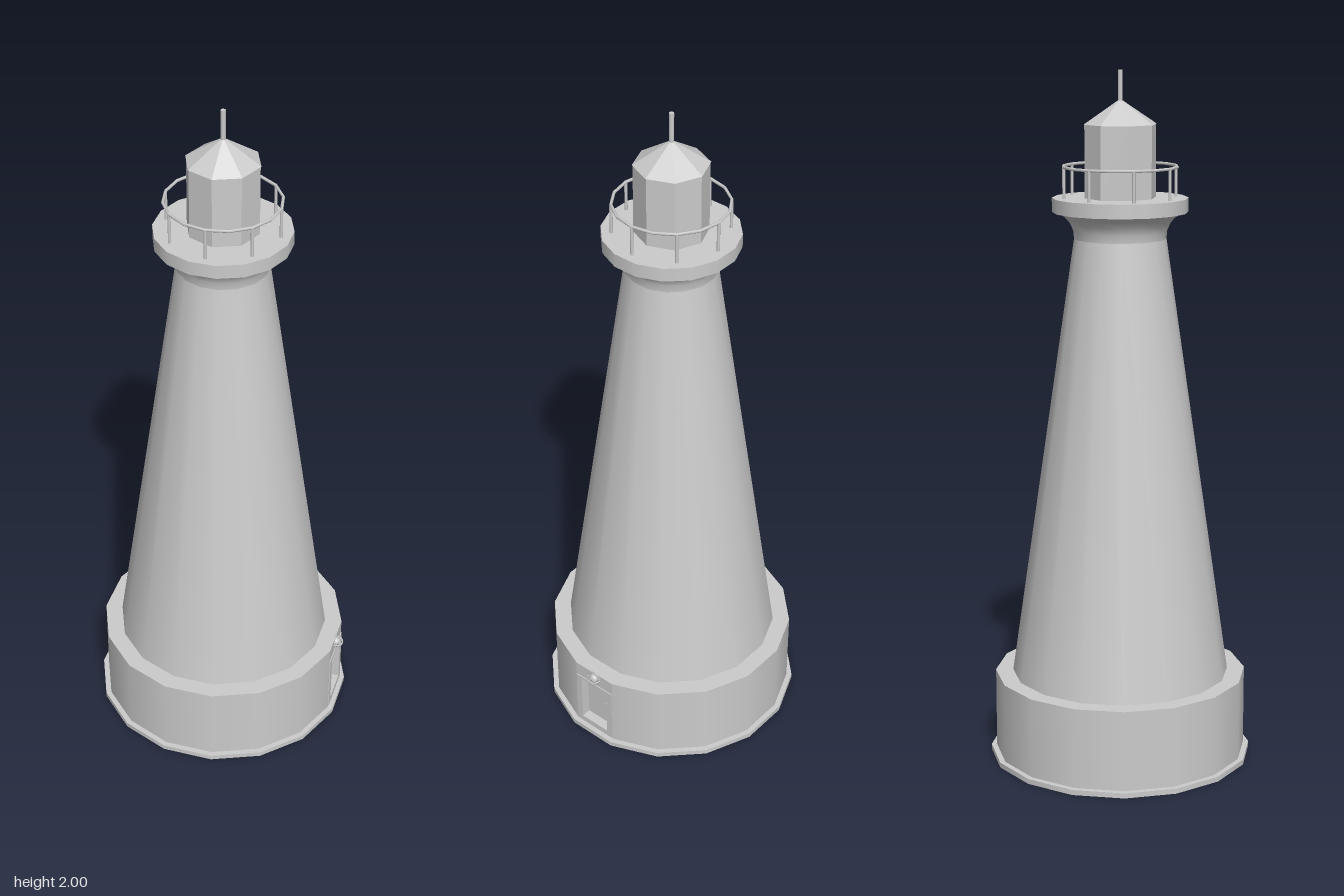
import * as THREE from 'three';

const SIDES = 16;
const HALF = Math.PI / SIDES;

export function createModel() {
  const model = new THREE.Group();
  model.name = 'lighthouse';
  const smooth = new THREE.MeshStandardMaterial({ color: 0xcccccc, side: THREE.DoubleSide });
  const flat = new THREE.MeshStandardMaterial({ color: 0xcccccc, flatShading: true });

  const add = (parent, name, geometry, material = smooth, x = 0, y = 0, z = 0) => {
    const mesh = new THREE.Mesh(geometry, material);
    mesh.name = name;
    mesh.position.set(x, y, z);
    parent.add(mesh);
    return mesh;
  };

  // Sixteen-sided ring of one smooth profile, flats facing the axes
  const ring = (name, points, start = HALF, count = SIDES) =>
    add(model, name, new THREE.LatheGeometry(
      points.map(([r, y]) => new THREE.Vector2(r, y)), count, start, count * 2 * HALF));

  // Plinth and base; the +x facet of the wall is left out for the doorway
  const R = 0.368, top = 0.25, lip = 0.015;
  ring('plinthUnderside', [[0.362, 0], [0.384, 0]]);
  ring('plinthEdge', [[0.384, 0], [0.384, lip]]);
  ring('plinthTop', [[0.384, lip], [R, lip]]);
  ring('plinthInside', [[R, lip], [0.362, 0]]);
  ring('baseWall', [[R, lip], [R, top]], Math.PI / 2 + HALF, SIDES - 1);
  ring('baseLedge', [[R, top], [0.317, top]]);

  // Tapered tower with a coved top carrying the gallery
  ring('tower', [[0.317, top], [0.131, 1.53]]);
  ring('cove', [[0.131, 1.53], [0.133, 1.552], [0.142, 1.573], [0.157, 1.59], [0.18, 1.605]]);
  ring('galleryUnderside', [[0.18, 1.605], [0.193, 1.605]]);
  ring('galleryEdge', [[0.193, 1.605], [0.193, 1.645]]);
  ring('galleryDeck', [[0.193, 1.645], [0, 1.645]]);

  // Doorway on the +x facet
  const wallX = R * Math.cos(HALF), halfFacet = R * Math.sin(HALF);
  const rect = (Type, w, y0, y1) => {
    const s = new Type();
    s.moveTo(-w, y0);
    s.lineTo(w, y0);
    s.lineTo(w, y1);
    s.lineTo(-w, y1);
    s.closePath();
    return s;
  };
  const frame = (name, w, y0, y1, depth, x) => {
    const shape = rect(THREE.Shape, w, y0, y1);
    shape.holes.push(rect(THREE.Path, 0.05, 0.038, 0.198));
    const g = new THREE.ExtrudeGeometry(shape, { depth, bevelEnabled: false });
    add(doorway, name, g.rotateY(Math.PI / 2), smooth, x);
  };
  const doorway = new THREE.Group();
  doorway.name = 'doorway';
  model.add(doorway);
  frame('doorWall', halfFacet, lip, top, 0.035, wallX - 0.035);
  frame('doorTrim', 0.07, 0.02, 0.205, 0.003, wallX);
  add(doorway, 'door', new THREE.BoxGeometry(0.008, 0.16, 0.1), smooth, wallX - 0.03, 0.118);
  add(doorway, 'doorKnob', new THREE.SphereGeometry(0.005, 10, 8), smooth, wallX - 0.022, 0.12, -0.028);

  // Caged lamp above the door
  const lamp = new THREE.Group();
  lamp.name = 'doorLamp';
  lamp.position.set(wallX, 0.23, 0);
  model.add(lamp);
  add(lamp, 'bulb', new THREE.SphereGeometry(0.014, 12, 8));
  add(lamp, 'cageRing', new THREE.TorusGeometry(0.021, 0.002, 6, 20).rotateY(Math.PI / 2));
  add(lamp, 'cageMiddleRing', new THREE.TorusGeometry(0.0155, 0.0015, 6, 16).rotateY(Math.PI / 2), smooth, 0.015);
  for (const turn of [0, Math.PI / 2]) {
    const bar = new THREE.TorusGeometry(0.022, 0.0018, 6, 14, Math.PI);
    add(lamp, 'cageBar', bar.rotateZ(-Math.PI / 2).rotateX(turn));
  }

  // Gallery railing
  const railR = 0.162;
  add(model, 'handrail', new THREE.TorusGeometry(railR, 0.0045, 6, SIDES).rotateX(Math.PI / 2), smooth, 0, 1.732);
  for (let i = 0; i < 8; i++) {
    const a = i * Math.PI / 4;
    add(model, 'railPost', new THREE.CylinderGeometry(0.0045, 0.0045, 0.09, 8), smooth,
      railR * Math.cos(a), 1.688, railR * Math.sin(a));
  }

  // Octagonal lantern room, roof and mast
  add(model, 'lanternRoom', new THREE.CylinderGeometry(0.103, 0.103, 0.205, 8), flat, 0, 1.7475);
  add(model, 'roof', new THREE.ConeGeometry(0.105, 0.07, 8), flat, 0, 1.885);
  add(model, 'mast', new THREE.CylinderGeometry(0.007, 0.007, 0.1, 10), smooth, 0, 1.95);

  // Centre the whole, lamp included
  for (const part of model.children) part.position.x -= 0.004;
  return model;
}
